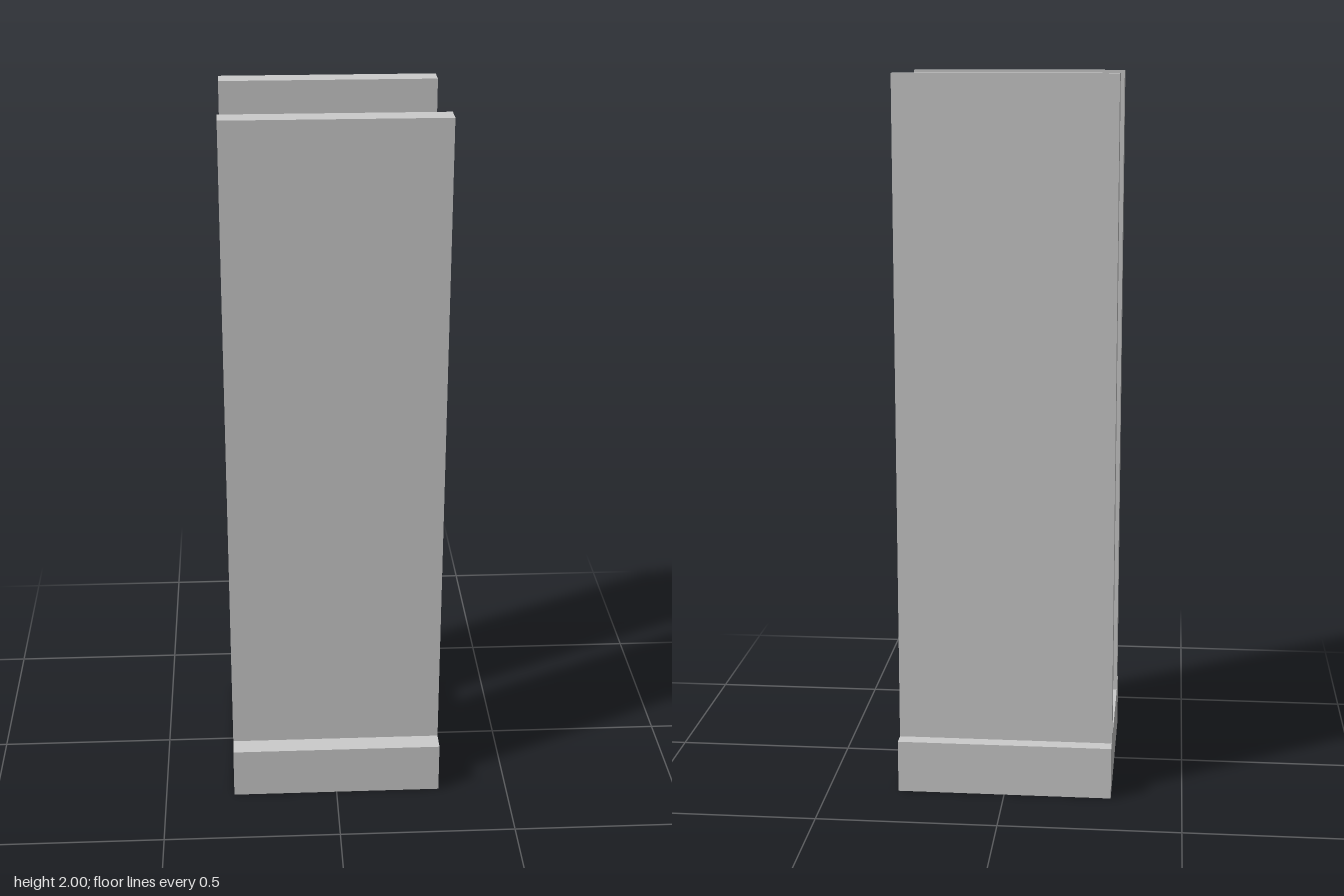
import * as THREE from 'three';

const WIDTH = 0.602;       // along x
const BASE_HALF = 0.295;   // base half depth along z
const BASE_TOP = 0.148;
const HEIGHT = 2;

export function createModel() {
  const group = new THREE.Group();
  group.name = 'slottedPost';

  // Side profile (z, y): base block with two upright plates, one solid piece
  const profile = new THREE.Shape([
    [-BASE_HALF, 0], [BASE_HALF, 0], [BASE_HALF, BASE_TOP],
    [0.237, BASE_TOP], [0.237, HEIGHT], [0.175, HEIGHT], [0.175, BASE_TOP],
    [-0.191, BASE_TOP], [-0.191, HEIGHT], [-0.254, HEIGHT], [-0.254, BASE_TOP],
    [-BASE_HALF, BASE_TOP],
  ].map(([z, y]) => new THREE.Vector2(z, y)));

  // Extrude across the width, then turn the profile into the zy plane
  const geometry = new THREE.ExtrudeGeometry(profile, { depth: WIDTH, bevelEnabled: false });
  geometry.translate(0, 0, -WIDTH / 2).rotateY(-Math.PI / 2);

  const bracket = new THREE.Mesh(geometry, new THREE.MeshStandardMaterial({ color: 0xcccccc }));
  bracket.name = 'baseWithUprightPlates';
  group.add(bracket);
  return group;
}
